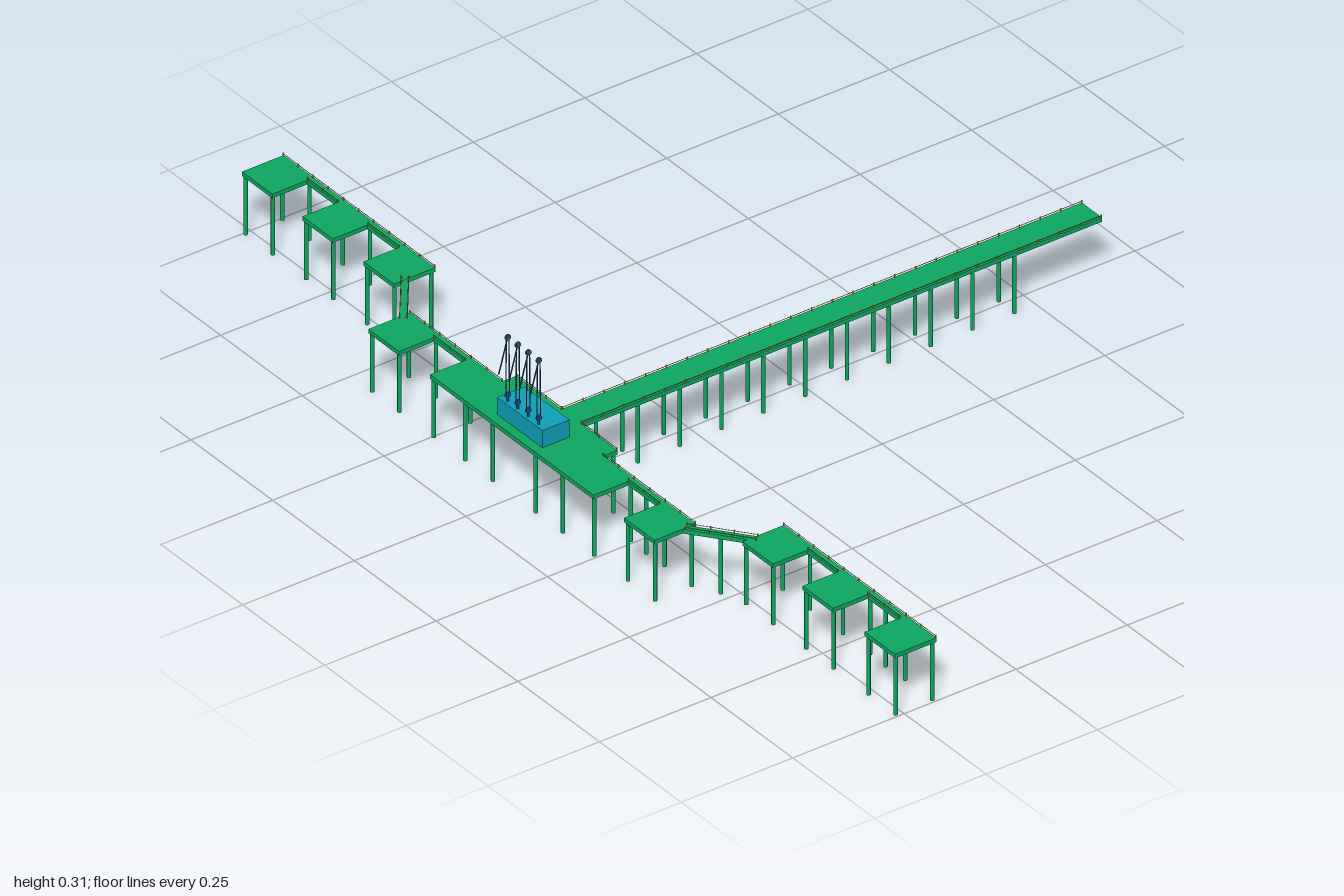
import * as THREE from 'three';

const mat = (color) => new THREE.MeshStandardMaterial({ color });

export function createModel() {
  const root = new THREE.Group();
  root.name = 'jetty';
  const green = mat(0x0ea660), yellow = mat(0xc9a227), teal = mat(0x0f9fb8), navy = mat(0x1f4e79);
  const TOP = 0.134, THICK = 0.009;

  const add = (geo, material, name, parent = root) => {
    const m = new THREE.Mesh(geo, material);
    m.name = name;
    parent.add(m);
    return m;
  };
  const box = (name, x0, x1, y0, y1, z0, z1, material = green, parent = root) => {
    const m = add(new THREE.BoxGeometry(x1 - x0, y1 - y0, z1 - z0), material, name, parent);
    m.position.set((x0 + x1) / 2, (y0 + y1) / 2, (z0 + z1) / 2);
    return m;
  };
  const slab = (name, x0, x1, z0, z1) => box(name, x0, x1, TOP - THICK, TOP, z0, z1);

  // Round piles from the sea bed to the underside of the deck
  const pileGeo = new THREE.CylinderGeometry(0.004, 0.004, TOP - THICK, 10);
  const pile = (x, z) => add(pileGeo, green, 'pile').position.set(x, (TOP - THICK) / 2, z);

  // Straight rod between two points
  const rod = (name, a, b, r, material, parent = root) => {
    const p = new THREE.Vector3(...a), q = new THREE.Vector3(...b);
    const m = add(new THREE.CylinderGeometry(r, r, p.distanceTo(q), 6), material, name, parent);
    m.position.copy(p).add(q).multiplyScalar(0.5);
    m.quaternion.setFromUnitVectors(new THREE.Vector3(0, 1, 0), q.sub(p).normalize());
  };

  // Low yellow rail on short posts along a deck edge
  const rail = (x0, z0, x1, z1) => {
    const y = TOP + 0.004;
    rod('rail', [x0, y, z0], [x1, y, z1], 0.0007, yellow);
    const n = Math.max(2, Math.round(Math.hypot(x1 - x0, z1 - z0) / 0.047));
    for (let i = 0; i <= n; i++) {
      const x = x0 + (x1 - x0) * i / n, z = z0 + (z1 - z0) * i / n;
      box('railPost', x - 0.001, x + 0.001, TOP, TOP + 0.006, z - 0.001, z + 0.001, yellow);
    }
  };

  // Access trestle and its pairs of piles
  slab('trestleDeck', -0.019, 0.043, -0.645, 0.525);
  for (let i = 0; i < 11; i++) {
    const z = 0.486 - i * 0.0938;
    pile(-0.01, z);
    pile(0.038, z);
  }
  for (const x of [-0.018, 0.042]) rail(x, -0.644, x, 0.52);

  // Central loading platform with the wider rear part
  slab('loadingPlatform', -0.253, 0.247, 0.552, 0.645);
  slab('platformRear', -0.157, 0.152, 0.521, 0.552);
  for (const x of [-0.248, 0.243]) for (const z of [0.558, 0.64]) pile(x, z);
  for (const x of [-0.152, -0.067, 0.064, 0.147]) for (const z of [0.527, 0.64]) pile(x, z);
  rail(-0.252, 0.553, -0.157, 0.553);
  rail(0.152, 0.553, 0.246, 0.553);
  rail(-0.156, 0.522, -0.019, 0.522);
  rail(0.043, 0.522, 0.151, 0.522);

  // Mooring dolphins, each on four corner piles
  const dolphin = (x0, z0) => {
    const w = 0.093;
    slab('dolphin', x0, x0 + w, z0, z0 + w);
    for (const x of [x0 + 0.005, x0 + w - 0.005])
      for (const z of [z0 + 0.006, z0 + w - 0.005]) pile(x, z);
    rail(x0 + 0.001, z0 + 0.001, x0 + w - 0.001, z0 + 0.001);
  };
  for (const x of [-1, -0.815, -0.628, 0.531, 0.715, 0.905]) dolphin(x, 0.426);
  for (const x of [-0.441, 0.341]) dolphin(x, 0.552);

  // Walkways joining the dolphins
  const walkway = (x0, x1, z) => {
    slab('walkway', x0, x1, z, z + 0.015);
    rail(x0, z + 0.001, x1, z + 0.001);
    rail(x0, z + 0.014, x1, z + 0.014);
  };
  for (const [a, b] of [[-0.907, -0.815], [-0.722, -0.628], [0.624, 0.715], [0.808, 0.905]]) walkway(a, b, 0.426);
  for (const [a, b] of [[-0.348, -0.253], [0.247, 0.341]]) walkway(a, b, 0.552);
  pile(0.293, 0.56);
  pile(0.48, 0.53);
  pile(0.853, 0.434);

  // Slanted walkways between the inner and outer dolphins
  for (const s of [-1, 1]) {
    const x0 = 0.433, z0 = 0.573, x1 = 0.538, z1 = 0.492;
    const len = Math.hypot(x1 - x0, z1 - z0);
    const m = add(new THREE.BoxGeometry(len + 0.008, THICK, 0.015), green, 'slantedWalkway');
    m.position.set(s * (x0 + x1) / 2, TOP - THICK / 2 - 0.0004, (z0 + z1) / 2);
    m.rotation.y = s * Math.atan2(z0 - z1, x1 - x0);
    for (const d of [-1, 1])
      rail(s * (x0 + d * 0.004), z0 + d * 0.0055, s * (x1 + d * 0.004), z1 + d * 0.0055);
  }

  // Control building
  box('building', -0.073, 0.065, TOP, 0.171, 0.565, 0.626, teal);

  // Four loading arms: riser, upright arm pair, hanging outer arm
  for (const x of [-0.052, -0.021, 0.011, 0.043]) {
    const arm = new THREE.Group();
    arm.name = 'loadingArm';
    root.add(arm);
    const z = 0.618, low = 0.184, high = 0.308;
    rod('riser', [x, TOP, z], [x, low, z], 0.0025, navy, arm);
    for (const d of [-1, 1])
      rod('innerArm', [x, low, z + d * 0.004], [x, high, z + d * 0.003], 0.0012, navy, arm);
    rod('outerArm', [x, high, z], [x, 0.236, 0.638], 0.0014, navy, arm);
    for (const y of [low, high]) {
      const joint = add(new THREE.CylinderGeometry(0.006, 0.006, 0.004, 14), navy, 'armJoint', arm);
      joint.position.set(x, y, z);
      joint.rotation.z = Math.PI / 2;
    }
  }
  return root;
}
